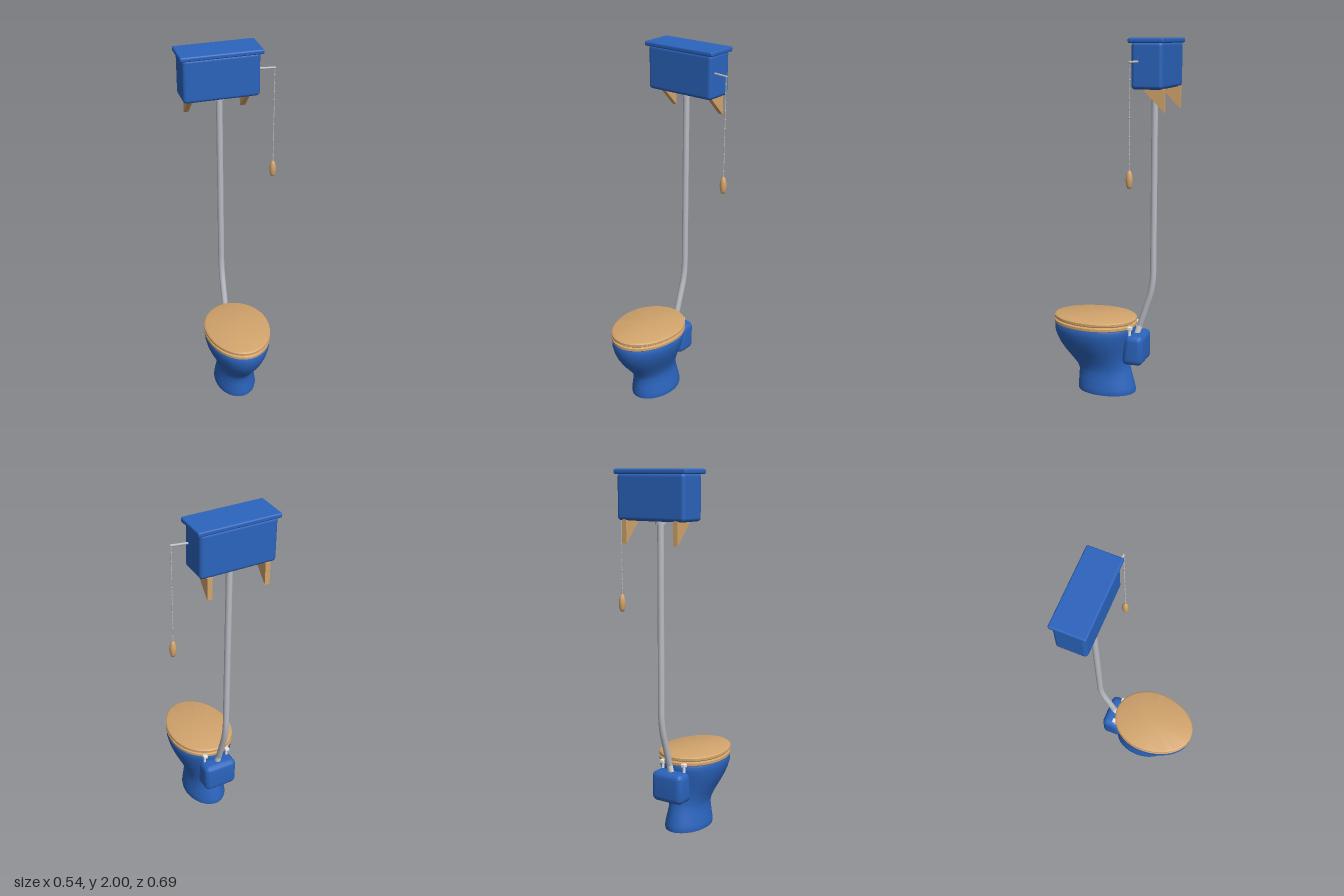
import * as THREE from 'three';
import { toCreasedNormals } from 'three/addons/utils/BufferGeometryUtils.js';
import { RoundedBoxGeometry } from 'three/addons/geometries/RoundedBoxGeometry.js';

const mat = (name, color) => {
  const m = new THREE.MeshStandardMaterial({ color });
  m.name = name;
  return m;
};

// Stacks egg-shaped rings [y, halfWidth, backZ, frontZ, widestZ] into a closed solid
function eggLoft(rings, crease = 0.7, n = 56) {
  const pos = [], idx = [];
  for (const [y, w, back, front, c] of rings) {
    for (let j = 0; j < n; j++) {
      const t = (j / n) * Math.PI * 2, s = Math.sin(t);
      pos.push(w * Math.cos(t), y, c + s * (s > 0 ? front - c : c - back));
    }
  }
  for (let i = 0; i < rings.length - 1; i++) {
    for (let j = 0; j < n; j++) {
      const a = i * n + j, b = i * n + (j + 1) % n;
      idx.push(a, a + n, b, b, a + n, b + n);
    }
  }
  const bottom = pos.length / 3, top = bottom + 1, last = (rings.length - 1) * n;
  pos.push(0, rings[0][0], rings[0][4], 0, rings.at(-1)[0], rings.at(-1)[4]);
  for (let j = 0; j < n; j++) {
    const k = (j + 1) % n;
    idx.push(bottom, j, k, top, last + k, last + j);
  }
  const g = new THREE.BufferGeometry();
  g.setAttribute('position', new THREE.Float32BufferAttribute(pos, 3));
  g.setIndex(idx);
  return toCreasedNormals(g, crease);
}

// Egg-shaped board with eased edges
function board(y0, y1, grow, ease) {
  const ring = (y, d) => [y, 0.185 + d, -0.14 - d, 0.345 + d, 0.08];
  return eggLoft([
    ring(y0, grow - 0.006), ring(y0 + 0.005, grow), ring(y1 - ease * 0.7, grow),
    ring(y1 - ease * 0.2, grow - ease * 0.5), ring(y1, grow - ease),
  ], 0.5);
}

export function createModel() {
  const model = new THREE.Group();
  const blue = mat('blue ceramic', 0x2b64bd);
  const wood = mat('wood', 0xd2a46c);
  const metal = mat('metal', 0xb9bcc4);
  const white = mat('white fitting', 0xf0f0f0);

  // Main body shares one centre line, offset to balance the chain
  const body = new THREE.Group();
  body.name = 'body';
  body.position.x = -0.045;
  model.add(body);
  const add = (name, geo, m, x = 0, y = 0, z = 0, parent = body) => {
    const mesh = new THREE.Mesh(geo, m);
    mesh.name = name;
    mesh.position.set(x, y, z);
    parent.add(mesh);
    return mesh;
  };

  // Bowl and pedestal
  add('bowl', eggLoft([
    [0, 0.117, -0.138, 0.2, 0.03],
    [0.012, 0.119, -0.14, 0.202, 0.03],
    [0.035, 0.116, -0.136, 0.201, 0.03],
    [0.08, 0.107, -0.124, 0.198, 0.033],
    [0.12, 0.1, -0.114, 0.196, 0.036],
    [0.15, 0.102, -0.106, 0.208, 0.04],
    [0.19, 0.114, -0.102, 0.243, 0.05],
    [0.235, 0.135, -0.105, 0.283, 0.06],
    [0.28, 0.156, -0.114, 0.314, 0.07],
    [0.32, 0.171, -0.124, 0.333, 0.077],
    [0.355, 0.18, -0.132, 0.342, 0.08],
    [0.382, 0.182, -0.136, 0.343, 0.08],
    [0.392, 0.178, -0.132, 0.339, 0.08],
  ]), blue);

  // Seat and closed lid
  add('seat', board(0.393, 0.416, 0, 0.006), wood);
  add('lid', board(0.42, 0.445, 0, 0.01), wood);

  // Inlet housing, its front leaning back towards the top
  const inlet = new RoundedBoxGeometry(0.198, 0.172, 0.125, 5, 0.032);
  const p = inlet.attributes.position;
  for (let i = 0; i < p.count; i++) {
    const up = p.getY(i) / 0.172 + 0.5, front = p.getZ(i) / 0.125 + 0.5;
    p.setZ(i, p.getZ(i) - 0.024 * up * front);
  }
  inlet.computeVertexNormals();
  add('inletHousing', toCreasedNormals(inlet, 0.9), blue, 0, 0.276, -0.1425);

  // Seat hinges
  for (const side of [-1, 1]) {
    add('hinge', new RoundedBoxGeometry(0.026, 0.022, 0.028, 2, 0.005), white, side * 0.071, 0.402, -0.128);
    add('hingePost', new THREE.CylinderGeometry(0.008, 0.008, 0.06, 14), white, side * 0.071, 0.37, -0.126);
  }

  // Flush pipe with a bend at the foot
  const v = (y, z) => new THREE.Vector3(0, y, z);
  const path = new THREE.CurvePath();
  path.add(new THREE.LineCurve3(v(1.74, -0.24), v(0.72, -0.24)));
  path.add(new THREE.QuadraticBezierCurve3(v(0.72, -0.24), v(0.63, -0.24), v(0.55, -0.212)));
  path.add(new THREE.LineCurve3(v(0.55, -0.212), v(0.405, -0.165)));
  add('flushPipe', new THREE.TubeGeometry(path, 90, 0.0175, 20), metal);
  add('pipeCuff', new THREE.TubeGeometry(new THREE.LineCurve3(v(0.415, -0.168), v(0.35, -0.147)), 2, 0.0165, 20), white);
  add('pipeCollar', new THREE.CylinderGeometry(0.028, 0.028, 0.022, 24), metal, 0, 1.73, -0.24);

  // Tank and cover
  add('tank', new RoundedBoxGeometry(0.42, 0.242, 0.168, 4, 0.02), blue, 0, 1.859, -0.254);
  add('tankCover', new RoundedBoxGeometry(0.45, 0.026, 0.19, 4, 0.009), blue, 0, 1.987, -0.251);

  // Wall brackets
  const tri = new THREE.Shape([[0.22, 1.742], [0.34, 1.742], [0.34, 1.62]].map(a => new THREE.Vector2(...a)));
  const bracket = new THREE.ExtrudeGeometry(tri, { depth: 0.028, bevelEnabled: false });
  bracket.translate(0, 0, -0.014).rotateY(Math.PI / 2);
  for (const side of [-1, 1]) add('bracket', bracket, wood, side * 0.16);

  // Flush lever, chain and pull
  const pull = new THREE.Group();
  pull.name = 'pullChain';
  pull.position.set(0.248, 0, -0.192);
  model.add(pull);
  const lever = new THREE.LineCurve3(new THREE.Vector3(-0.1, 1.88, -0.018), new THREE.Vector3(0, 1.88, 0));
  add('lever', new THREE.TubeGeometry(lever, 2, 0.006, 12), metal, 0, 0, 0, pull);
  add('leverTip', new THREE.SphereGeometry(0.007, 12, 8), metal, 0, 1.88, 0, pull);
  add('chain', new THREE.CylinderGeometry(0.0025, 0.0025, 0.56, 8), metal, 0, 1.6, 0, pull);
  const bead = new THREE.SphereGeometry(0.0048, 8, 6);
  for (let i = 0; i < 11; i++) add('chainBead', bead, metal, 0, 1.84 - i * 0.048, 0, pull);
  const profile = [[0, 1.235], [0.01, 1.236], [0.015, 1.25], [0.0195, 1.28], [0.016, 1.305], [0.009, 1.327], [0, 1.33]];
  add('pullHandle', new THREE.LatheGeometry(profile.map(a => new THREE.Vector2(...a)), 18), wood, 0, 0, 0, pull);

  return model;
}
